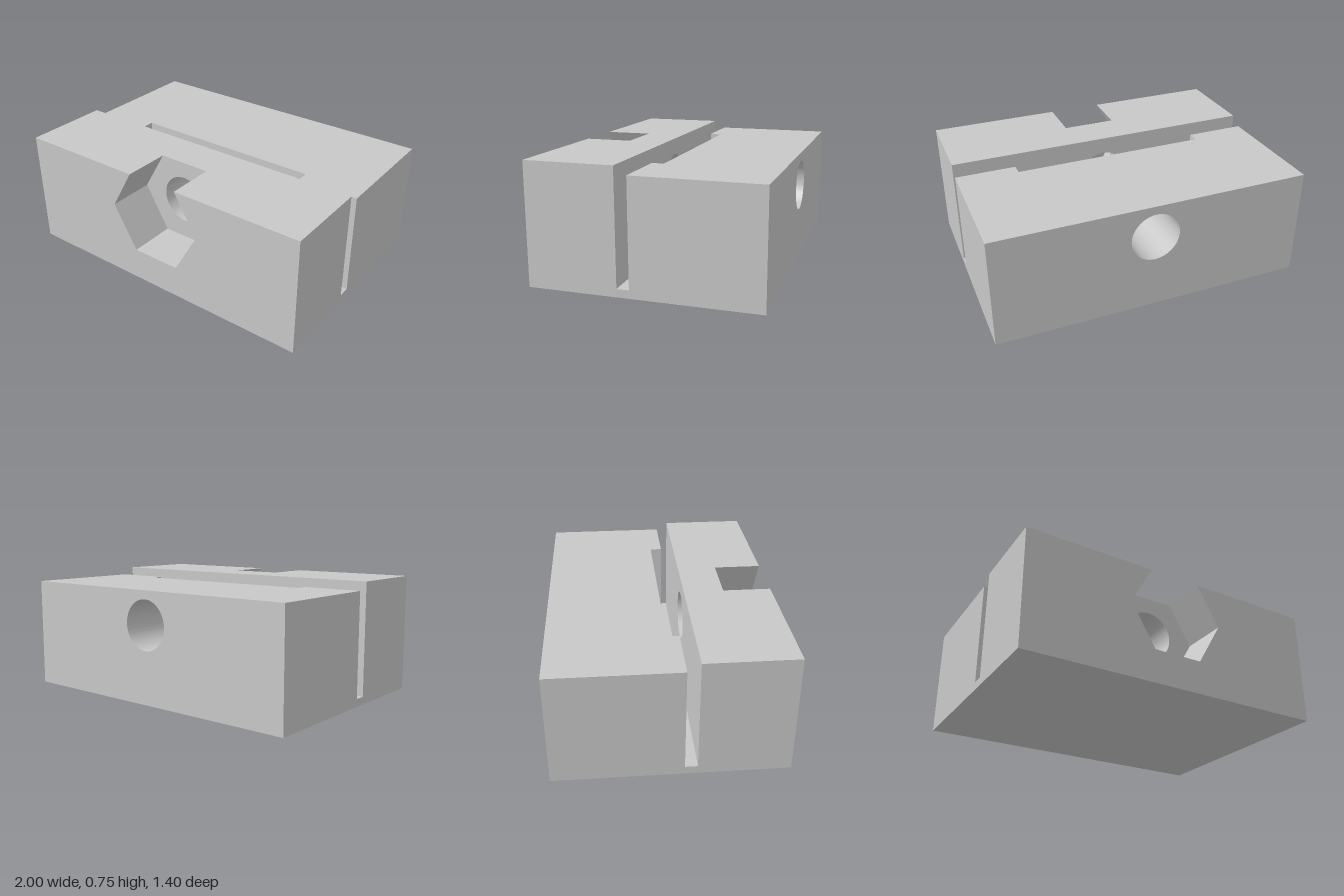
import * as THREE from 'three';
import { toCreasedNormals } from 'three/addons/utils/BufferGeometryUtils.js';

const HALF = 1;             // half width of the block
const BACK = 0.7;           // half depth of the block
const FLOOR = 0.05;         // thickness of the web joining both jaws
const FRONT_TOP = 0.75, BACK_TOP = 0.7;
const SLOT_BACK = 0.075, SLOT_FRONT = 0.15;
const RECESS = 0.62;        // half width of the recess in the back jaw
const POCKET_Z = 0.4;       // floor of the hexagonal nut pocket
const BORE_Y = 0.49, BORE_R = 0.156, HEX_R = 0.32;

export function createModel() {
  const model = new THREE.Group();
  model.name = 'clampBlock';
  const grey = new THREE.MeshStandardMaterial({ color: 0xc8c8c8 });
  grey.name = 'lightGrey';

  // Extrude an outline in x-y from z0 to z1, smooth inside the bore only
  const slab = (name, shape, z0, z1) => {
    const geometry = new THREE.ExtrudeGeometry(shape, { depth: z1 - z0, bevelEnabled: false, curveSegments: 48 });
    geometry.translate(0, 0, z0);
    const mesh = new THREE.Mesh(toCreasedNormals(geometry, 0.5), grey);
    mesh.name = name;
    model.add(mesh);
  };

  const box = (name, x0, x1, y0, y1, z0, z1) => {
    const mesh = new THREE.Mesh(new THREE.BoxGeometry(x1 - x0, y1 - y0, z1 - z0), grey);
    mesh.position.set((x0 + x1) / 2, (y0 + y1) / 2, (z0 + z1) / 2);
    mesh.name = name;
    model.add(mesh);
  };

  const polygon = (points) => new THREE.Shape(points.map(([x, y]) => new THREE.Vector2(x, y)));

  // Rectangle pierced by the bolt hole
  const boredPlate = (top) => {
    const shape = polygon([[-HALF, 0], [HALF, 0], [HALF, top], [-HALF, top]]);
    shape.holes.push(new THREE.Path().absarc(0, BORE_Y, BORE_R, 0, Math.PI * 2, true));
    return shape;
  };

  // Back jaw, with a cheek on each side of its shallow recess
  slab('backJaw', boredPlate(BACK_TOP), -BACK, 0);
  box('leftCheek', RECESS, HALF, FLOOR, BACK_TOP, 0, SLOT_BACK);
  box('rightCheek', -HALF, -RECESS, FLOOR, BACK_TOP, 0, SLOT_BACK);

  // Thin web under the slot
  box('web', -HALF, HALF, 0, FLOOR, 0, SLOT_FRONT);

  // Front jaw behind the nut pocket
  slab('frontJaw', boredPlate(FRONT_TOP), SLOT_FRONT, POCKET_Z);

  // Front jaw around the nut pocket, a hexagon that breaks through the top
  const mouth = HEX_R - (FRONT_TOP - BORE_Y) / Math.sqrt(3);
  const hexBottom = BORE_Y - HEX_R * Math.sqrt(3) / 2;
  slab('nutPocket', polygon([
    [-HALF, 0], [HALF, 0], [HALF, FRONT_TOP],
    [mouth, FRONT_TOP], [HEX_R, BORE_Y], [HEX_R / 2, hexBottom],
    [-HEX_R / 2, hexBottom], [-HEX_R, BORE_Y], [-mouth, FRONT_TOP],
    [-HALF, FRONT_TOP],
  ]), POCKET_Z, BACK);

  return model;
}
